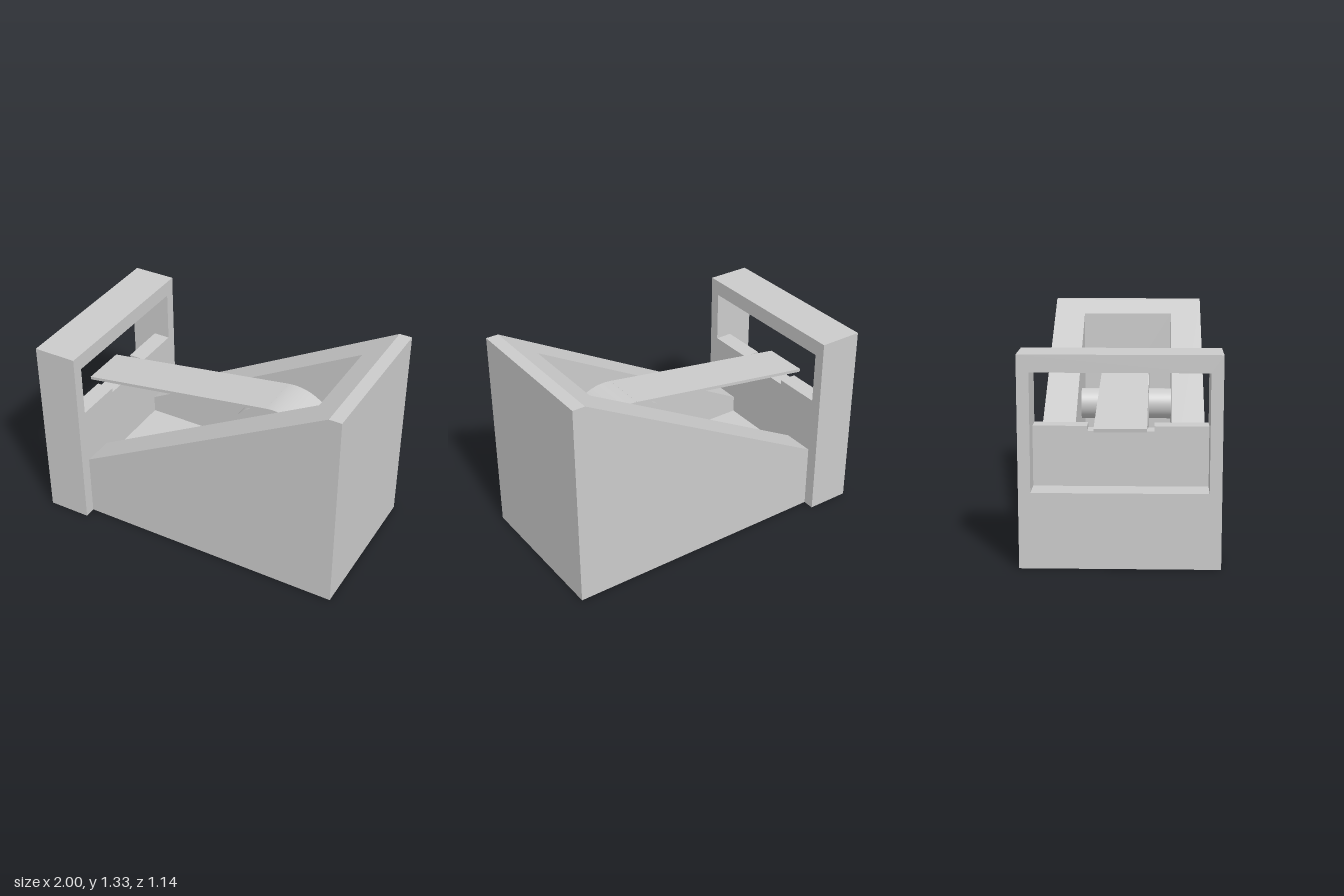
import * as THREE from 'three';

const material = new THREE.MeshStandardMaterial({ color: 0xcccccc });

function shapeOf(points) {
  return new THREE.Shape(points.map(([x, y]) => new THREE.Vector2(x, y)));
}

// Extrudes an x-y profile from z0 to z1
function slab(points, z0, z1) {
  const geo = new THREE.ExtrudeGeometry(shapeOf(points), { depth: z1 - z0, bevelEnabled: false });
  return geo.translate(0, 0, z0);
}

function add(parent, name, geometry) {
  const mesh = new THREE.Mesh(geometry, material);
  mesh.name = name;
  parent.add(mesh);
  return mesh;
}

export function createModel() {
  const model = new THREE.Group();
  model.name = 'tapeDispenser';

  const front = -0.725, back = 1, frontY = 0.42, topY = 1.33, ridgeX = 0.92;
  const slope = (topY - frontY) / (ridgeX - front);
  const cavityEnd = 0.77, floorY = 0.31;

  // Wedge body: two side walls around a floor and a rear block
  const body = new THREE.Group();
  body.name = 'wedgeBody';
  model.add(body);
  const side = [[front, 0], [back, 0], [back, topY], [ridgeX, topY], [front, frontY]];
  add(body, 'leftWall', slab(side, 0.295, 0.497));
  add(body, 'rightWall', slab(side, -0.497, -0.295));
  const core = [
    [front, 0], [back, 0], [back, topY], [ridgeX, topY],
    [cavityEnd, frontY + slope * (cavityEnd - front)], [cavityEnd, floorY], [front, floorY],
  ];
  add(body, 'floorAndRearBlock', slab(core, -0.295, 0.295));

  // Upright frame with a rectangular window, extruded along x
  const frame = shapeOf([[-0.57, 0], [0.57, 0], [0.57, 1.22], [-0.57, 1.22]]);
  frame.holes.push(shapeOf([[-0.5, 0.44], [-0.5, 1.12], [0.5, 1.12], [0.5, 0.44]]));
  const frameGeo = new THREE.ExtrudeGeometry(frame, { depth: 0.275, bevelEnabled: false });
  add(model, 'frontFrame', frameGeo.rotateY(Math.PI / 2).translate(-1, 0, 0));

  // Cutter plate inside the window, notched for the tape
  const plate = shapeOf([
    [-0.5, 0.44], [0.5, 0.44], [0.5, 0.79], [0.19, 0.79],
    [0.19, 0.76], [-0.19, 0.76], [-0.19, 0.79], [-0.5, 0.79],
  ]);
  const plateGeo = new THREE.ExtrudeGeometry(plate, { depth: 0.11, bevelEnabled: false });
  add(model, 'cutterPlate', plateGeo.rotateY(Math.PI / 2).translate(-0.835, 0, 0));

  // Spool axle and tape roll
  const cx = 0.405, cy = 0.69, radius = 0.3;
  const axle = add(model, 'axle', new THREE.CylinderGeometry(0.1, 0.1, 0.59, 48).rotateX(Math.PI / 2));
  const roll = add(model, 'tapeRoll', new THREE.CylinderGeometry(radius, radius, 0.3, 64).rotateX(Math.PI / 2));
  for (const part of [axle, roll]) part.position.set(cx, cy, 0);

  // Loose strip of tape, tangent to the roll
  const angle = 0.152, thickness = 0.02, endX = -0.92;
  const tx = cx - radius * Math.sin(angle), ty = cy + radius * Math.cos(angle);
  const length = (tx - endX) / Math.cos(angle);
  const strip = add(model, 'tapeStrip', new THREE.BoxGeometry(length, thickness, 0.3).translate(-length / 2, -thickness / 2, 0));
  strip.position.set(tx, ty, 0);
  strip.rotation.z = angle;

  return model;
}
